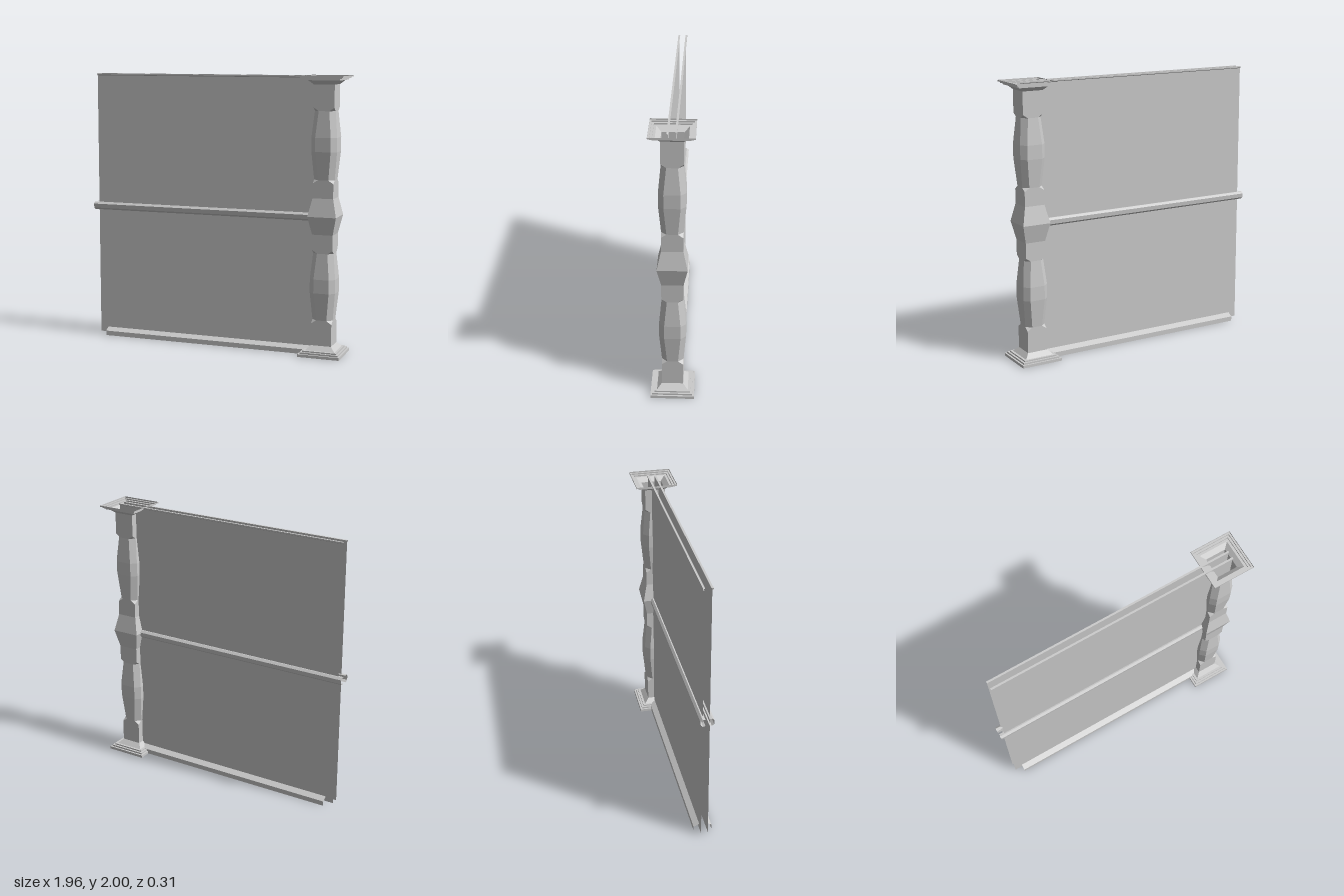
import * as THREE from 'three';

const mat = new THREE.MeshStandardMaterial({ color: 0xcccccc, flatShading: true, side: THREE.DoubleSide });

// Surface through rows of points (each row has the same point count)
function loft(name, rows, closed) {
  const pos = [], idx = [], n = rows[0].length;
  rows.forEach(r => r.forEach(p => pos.push(...p)));
  for (let i = 0; i < rows.length - 1; i++) {
    for (let j = 0; j < (closed ? n : n - 1); j++) {
      const a = i * n + j, b = i * n + (j + 1) % n;
      idx.push(a, b + n, b, a, a + n, b + n);
    }
  }
  const geo = new THREE.BufferGeometry();
  geo.setAttribute('position', new THREE.Float32BufferAttribute(pos, 3));
  geo.setIndex(idx);
  const flat = geo.toNonIndexed();
  flat.computeVertexNormals();
  const mesh = new THREE.Mesh(flat, mat);
  mesh.name = name;
  return mesh;
}

// Eight-point ring: w = half width of the post, f = half width of each flat face
const ring = ([y, w, f = w]) =>
  [[w, -f], [w, f], [f, w], [-f, w], [-w, f], [-w, -f], [-f, -w], [f, -w]].map(([x, z]) => [x, y, z]);

// Swelling section with chamfered corners, centred on height c
const swell = c => [
  [c - 0.275, 0.075], [c - 0.25, 0.075, 0.038], [c - 0.05, 0.093, 0.056], [c + 0.05, 0.093, 0.056],
  [c + 0.235, 0.075, 0.038], [c + 0.26, 0.075],
];

// Open profile of [y, z] points extruded along x
const strip = (name, x0, x1, profile, side) =>
  loft(name, [x0, x1].map(x => profile.map(([y, z]) => [x, y, z * side])), false);

export function createModel() {
  const model = new THREE.Group();
  model.name = 'wallWithPost';

  // Hollow post with stepped foot and cap
  const profile = [
    [0, 0.153], [0.02, 0.153], [0.02, 0.14], [0.032, 0.14], [0.032, 0.125], [0.042, 0.125],
    [0.042, 0.108], [0.075, 0.075],
    ...swell(0.51),
    [0.88, 0.075], [1.01, 0.104], [1.14, 0.075],
    ...swell(1.52),
    [1.94, 0.075], [1.97, 0.108], [1.97, 0.125], [1.98, 0.125], [1.98, 0.14], [1.99, 0.14],
    [1.99, 0.153], [2, 0.153],
  ];
  const post = loft('post', profile.map(ring), true);
  post.position.x = 0.822;
  model.add(post);

  // Wall faces with matching trims, front and back
  for (const [label, s] of [['front', 1], ['back', -1]]) {
    const side = new THREE.Group();
    side.name = label + 'Wall';
    side.add(
      strip('panel', -0.945, 0.89, [[0.02, 0.025], [2, 0.025]], s),
      strip('topTrim', -0.945, 0.89, [[1.985, 0.025], [1.99, 0.034], [2, 0.034], [2, 0.02]], s),
      strip('middleRail', -0.98, 0.89,
        [[0.978, 0.014], [0.972, 0.03], [0.985, 0.046], [1.015, 0.049], [1.03, 0.034], [1.028, 0.014]], s),
      strip('skirting', -0.885, 0.82, [[0, 0.065], [0.035, 0.065], [0.058, 0.025]], s),
    );
    model.add(side);
  }
  return model;
}
